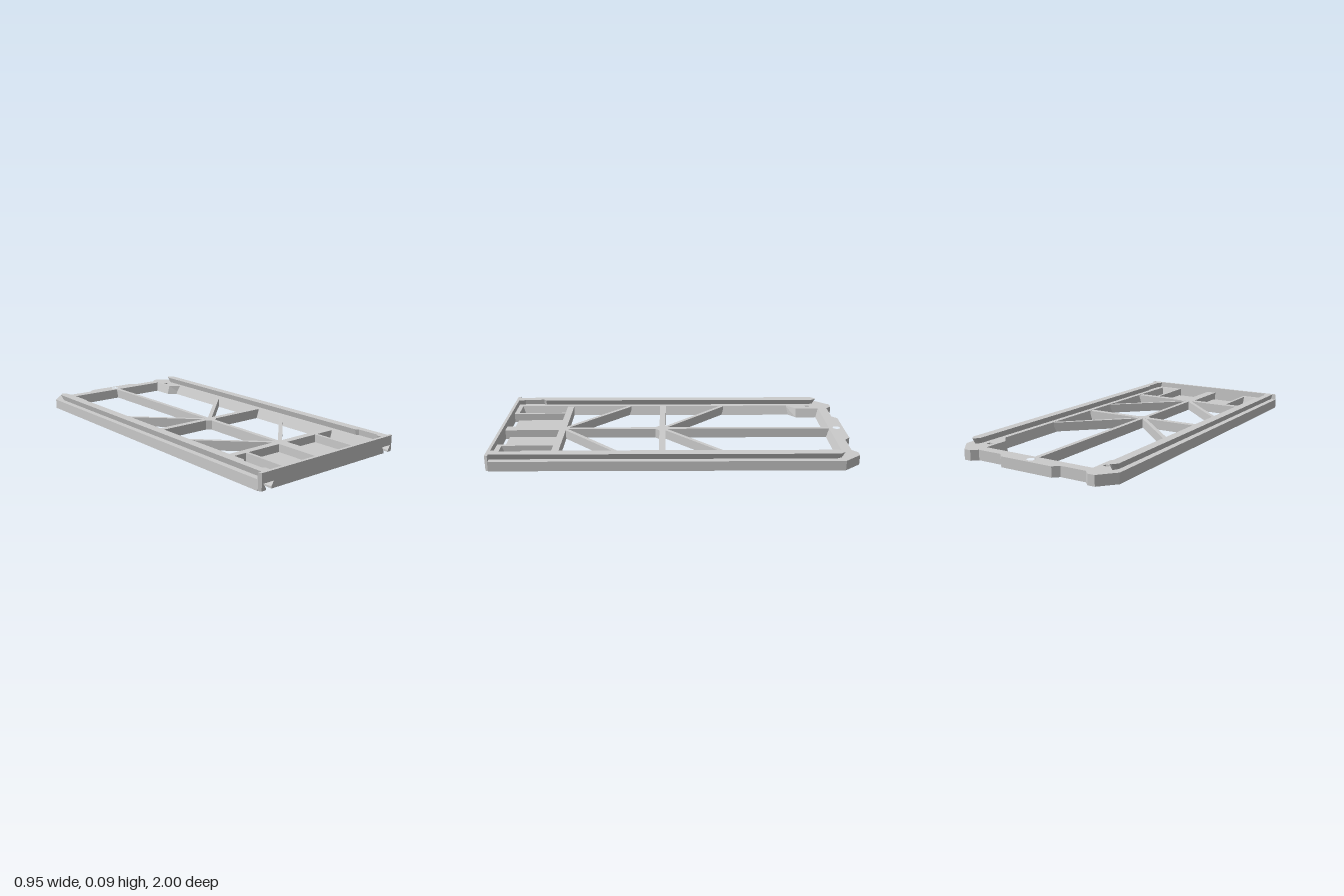
import * as THREE from 'three';

const material = new THREE.MeshStandardMaterial({ color: 0xcccccc, flatShading: true });
const DECK = 0.055; // height of the flat frame
const TOP = 0.087;  // height of the locking rails and front wall

const toShape = (pts) => new THREE.Shape(pts.map(([x, y]) => new THREE.Vector2(x, y)));

// Extrude a plan outline given as [x, z] upward from y0 to y1
function planGeometry(pts, y0, y1, holes = []) {
  const shape = toShape(pts.map(([x, z]) => [x, -z]));
  shape.holes.push(...holes);
  const geo = new THREE.ExtrudeGeometry(shape, { depth: y1 - y0, bevelEnabled: false, curveSegments: 16 });
  return geo.rotateX(-Math.PI / 2).translate(0, y0, 0);
}

// Extrude a cross-section given as [x, y] along z
function sectionGeometry(pts, z0, z1) {
  const geo = new THREE.ExtrudeGeometry(toShape(pts), { depth: z1 - z0, bevelEnabled: false });
  return geo.translate(0, 0, z0);
}

// Move every vertex by a rule
function reshape(geo, rule) {
  const p = geo.attributes.position;
  const v = new THREE.Vector3();
  for (let i = 0; i < p.count; i++) {
    v.fromBufferAttribute(p, i);
    rule(v);
    p.setXYZ(i, v.x, v.y, v.z);
  }
  geo.computeVertexNormals();
  return geo;
}

export function createModel() {
  const model = new THREE.Group();
  model.name = 'slidingFrame';

  const add = (name, geo) => {
    const mesh = new THREE.Mesh(geo, material);
    mesh.name = name;
    model.add(mesh);
    return mesh;
  };
  const box = (name, x0, x1, z0, z1, y0 = 0, y1 = DECK) =>
    add(name, new THREE.BoxGeometry(x1 - x0, y1 - y0, z1 - z0)
      .translate((x0 + x1) / 2, (y0 + y1) / 2, (z0 + z1) / 2));
  const strut = (name, [xa, za], [xb, zb], width) => {
    const len = Math.hypot(xb - xa, zb - za);
    const mesh = add(name, new THREE.BoxGeometry(len, DECK - 0.002, width));
    mesh.position.set((xa + xb) / 2, DECK / 2, (za + zb) / 2);
    mesh.rotation.y = -Math.atan2(zb - za, xb - xa);
  };

  // Dovetail groove, from its inner to its outer foot
  const groove = [[0.405, 0], [0.405, 0.01], [0.39, 0.035], [0.455, 0.035], [0.44, 0.01], [0.44, 0]];

  for (const s of [1, -1]) {
    const side = s > 0 ? 'left' : 'right';
    const mirror = (pts) => pts.map(([x, y]) => [x * s, y]);

    // Side rail with sloped inner face and a groove underneath
    add(side + 'Rail', sectionGeometry(mirror([
      [0.362, 0], ...groove, [0.475, 0], [0.475, DECK], [0.38, DECK],
    ]), -0.912, 0.985));

    // Dovetail tongue on top, pointed at the back and undercut
    const tongue = planGeometry(mirror([
      [0.4, 0.985], [0.4, 0.955], [0.413, 0.945], [0.413, 0.825], [0.4, 0.81],
      [0.4, -0.885], [0.42, -0.912], [0.43, -0.912], [0.452, -0.885], [0.452, 0.985],
    ]), DECK - 0.001, TOP);
    add(side + 'Tongue', reshape(tongue, (v) => {
      if (v.y > 0.07) return;
      v.x = s * 0.426 + (v.x - s * 0.426) * 0.62;
      if (v.z < -0.8) v.z += 0.018;
    }));

    // Diagonal struts
    strut(side + 'RearStrut', [s * 0.38, -0.31], [s * 0.008, 0.058], 0.022);
    strut(side + 'FrontStrut', [s * 0.38, 0.275], [s * 0.008, 0.637], 0.022);

    // Pocket rib, thin floor and window sill
    box(side + 'PocketRib', ...[s * 0.243, s * 0.26].sort((a, b) => a - b), 0.66, 0.985);
    box(side + 'PocketFloor', ...[s * 0.02, s * 0.25].sort((a, b) => a - b), 0.66, 0.96, 0, 0.012);
    const sill = planGeometry(mirror([[0.25, 0.955], [0.39, 0.955], [0.39, 0.985], [0.25, 0.985]]), 0, DECK);
    add(side + 'WindowSill', reshape(sill, (v) => {
      if (v.y < 0.01 && v.z < 0.96) v.z -= 0.02;
    }));
  }

  // Rear crossbar with notched back edge, corner gussets and a hanging hole
  const half = [
    [0.155, -1], [0.185, -0.97], [0.33, -0.97], [0.36, -1], [0.4, -1], [0.475, -0.91],
    [0.385, -0.91], [0.385, -0.865], [0.352, -0.865], [0.352, -0.84], [0.385, -0.84],
    [0.385, -0.715], [0.33, -0.775], [0.33, -0.915],
  ];
  const outline = [...half, ...half.map(([x, z]) => [-x, z]).reverse()];
  const hole = new THREE.Path().absarc(0, 0.96, 0.021, 0, Math.PI * 2, true);
  add('rearCrossbar', reshape(planGeometry(outline, 0, DECK, [hole]), (v) => {
    if (v.y > 0.01) return;
    if (Math.abs(v.x) < 0.34 && v.z > -0.92) v.x -= Math.sign(v.x) * 0.015;
    if (Math.abs(v.z + 0.915) < 0.001) v.z = -0.9;
  }));

  // Central spine, cross beams and pocket divider
  box('spine', -0.013, 0.013, -0.92, 0.64);
  box('middleBeam', -0.375, 0.375, 0.047, 0.083);
  box('frontBeam', -0.375, 0.375, 0.63, 0.67);
  box('pocketDivider', -0.03, 0.03, 0.66, 0.987);
  add('middleGusset', planGeometry([[-0.04, 0.08], [0.04, 0.08], [0.013, 0.107], [-0.013, 0.107]], 0, DECK));

  // Front wall with groove openings and chamfered ends
  const wall = [
    ...groove, [0.475, 0], [0.475, TOP], [-0.475, TOP], [-0.475, 0],
    ...groove.map(([x, y]) => [-x, y]).reverse(),
  ];
  add('frontWall', reshape(sectionGeometry(wall, 0.983, 1), (v) => {
    if (v.z > 0.99 && Math.abs(v.x) > 0.47) v.x = Math.sign(v.x) * 0.465;
  }));

  return model;
}
